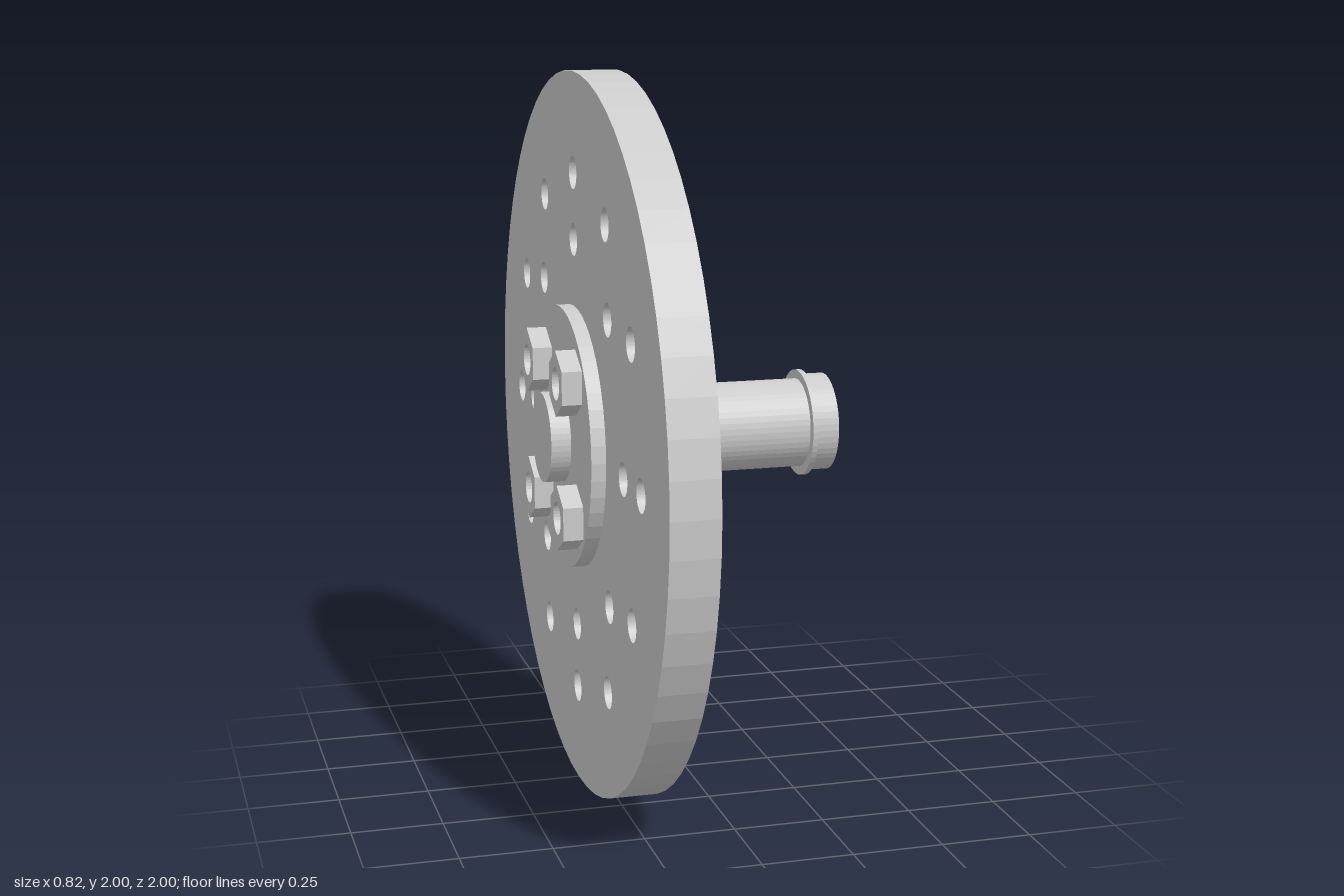
import * as THREE from 'three';

const material = new THREE.MeshStandardMaterial({ color: 0xcccccc, flatShading: true });
const HOLE = 0.045;

function addHole(shape, x, y) {
  const hole = new THREE.Path();
  hole.absarc(x, y, HOLE, 0, Math.PI * 2, true);
  shape.holes.push(hole);
}

// Extrudes a (z, y) profile along x, from x0 to x1
function plate(name, shape, x0, x1, curveSegments = 32) {
  const geometry = new THREE.ExtrudeGeometry(shape, { depth: x1 - x0, bevelEnabled: false, curveSegments });
  geometry.translate(0, 0, x0).rotateY(Math.PI / 2);
  const mesh = new THREE.Mesh(geometry, material);
  mesh.name = name;
  return mesh;
}

// Turned part along x from [radius, x] points
function turned(name, points) {
  const profile = points.map(([r, x]) => new THREE.Vector2(r, x));
  const geometry = new THREE.LatheGeometry(profile, 48).rotateZ(-Math.PI / 2);
  const mesh = new THREE.Mesh(geometry, material);
  mesh.name = name;
  return mesh;
}

export function createModel() {
  const model = new THREE.Group();
  model.name = 'drilledWheel';

  // Disc with two rings of through holes
  const disc = new THREE.Shape().absarc(0, 0, 1, 0, Math.PI * 2, false);
  for (const [count, radius] of [[12, 0.727], [8, 0.545]]) {
    for (let i = 0; i < count; i++) {
      const a = (i / count) * Math.PI * 2;
      addHole(disc, Math.cos(a) * radius, Math.sin(a) * radius);
    }
  }
  model.add(plate('disc', disc, -0.315, -0.185));

  // Mounting flange
  model.add(turned('flange', [[0, -0.355], [0.363, -0.355], [0.363, -0.315], [0, -0.315]]));

  // Shaft stub behind the flange
  model.add(turned('shaftStub', [[0, -0.41], [0.125, -0.41], [0.125, -0.355]]));

  // Shaft with its collar and end cap
  model.add(turned('shaft', [
    [0.125, -0.185], [0.125, 0.33], [0.15, 0.33], [0.15, 0.345],
    [0.137, 0.345], [0.137, 0.41], [0, 0.41],
  ]));

  // Four hexagonal nuts
  const hexagon = new THREE.Shape(Array.from({ length: 6 }, (_, i) => {
    const a = Math.PI / 2 + (i * Math.PI) / 3;
    return new THREE.Vector2(Math.cos(a) * 0.09, Math.sin(a) * 0.09);
  }));
  addHole(hexagon, 0, 0);
  for (const y of [-0.185, 0.185]) {
    for (const z of [-0.185, 0.185]) {
      const nut = plate('nut', hexagon, -0.41, -0.355, 16);
      nut.position.set(0, y, z);
      model.add(nut);
    }
  }

  model.children.forEach((part) => { part.position.y += 1; });
  return model;
}
